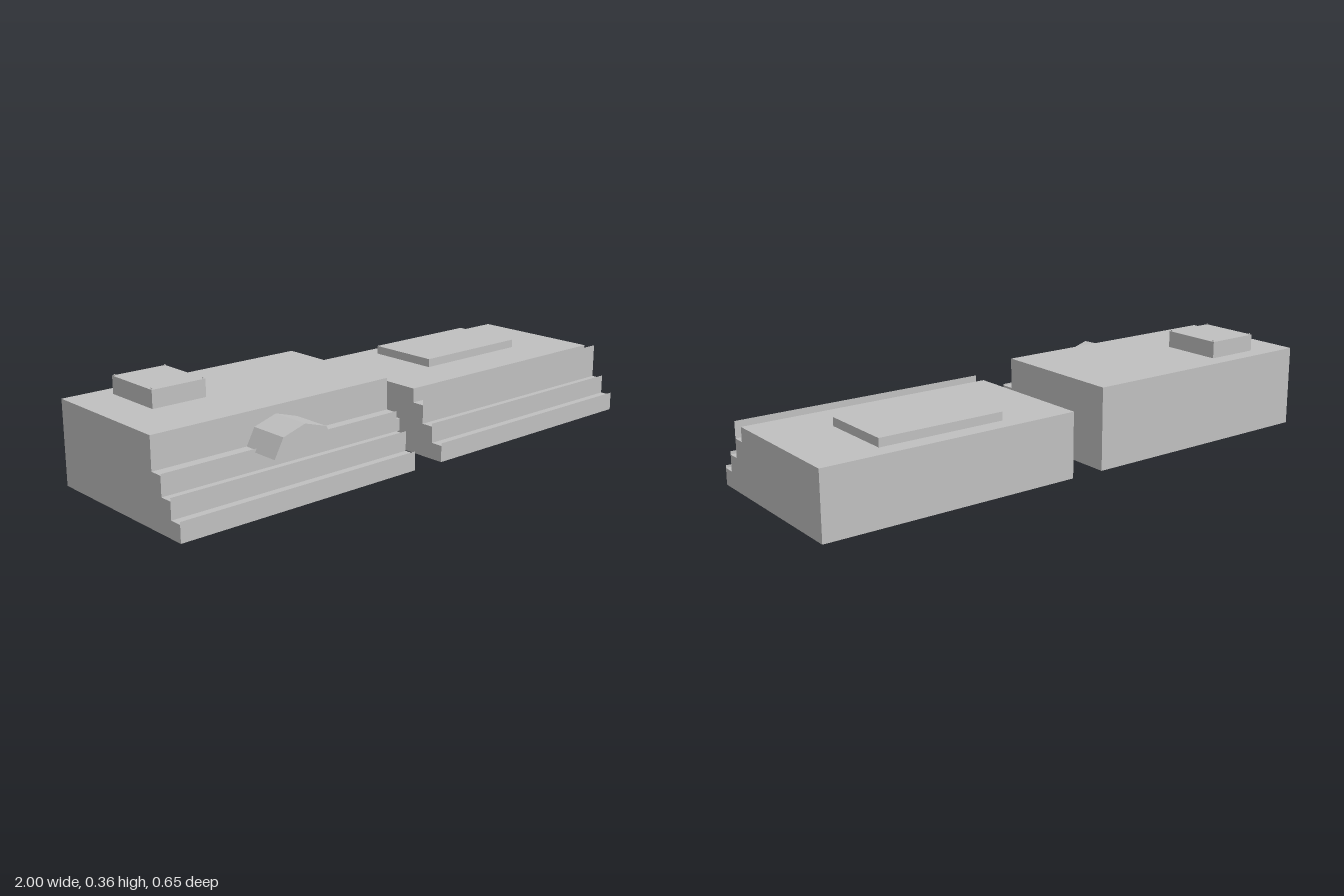
import * as THREE from 'three';

const stone = new THREE.MeshStandardMaterial({ color: 0xc0c0c0, side: THREE.DoubleSide });
stone.name = 'grey stone';

function addMesh(parent, geometry, name) {
  const mesh = new THREE.Mesh(geometry, stone);
  mesh.name = name;
  parent.add(mesh);
  return mesh;
}

// Box given by its limits on each axis
function addBox(parent, name, [x0, x1], [y0, y1], [z0, z1]) {
  const mesh = addMesh(parent, new THREE.BoxGeometry(x1 - x0, y1 - y0, z1 - z0), name);
  mesh.position.set((x0 + x1) / 2, (y0 + y1) / 2, (z0 + z1) / 2);
}

// Open folded sheet: a [z, y] profile swept from x0 to x1
function sheet(profile, x0, x1) {
  const v = [];
  for (let i = 0; i < profile.length - 1; i++) {
    const [pz, py] = profile[i], [qz, qy] = profile[i + 1];
    v.push(x0, py, pz, x1, py, pz, x1, qy, qz, x0, py, pz, x1, qy, qz, x0, qy, qz);
  }
  const g = new THREE.BufferGeometry();
  g.setAttribute('position', new THREE.Float32BufferAttribute(v, 3));
  g.computeVertexNormals();
  return g;
}

function flatShape(points) {
  return new THREE.ShapeGeometry(new THREE.Shape(points.map(p => new THREE.Vector2(p[0], p[1]))));
}

// Hollow block, open underneath, with a terraced front
function terracedBlock(name, x0, x1, roofY, parapetTops) {
  const block = new THREE.Group();
  block.name = name;
  const fronts = [0.322, 0.277, 0.231], floors = [0.058, 0.116, 0.182];
  const profile = [[fronts[0], 0]];
  fronts.forEach((z, i) => {
    profile.push([z, floors[i]], [fronts[i + 1] ?? 0.184, floors[i]]);
  });
  profile.push([0.184, roofY], [-0.325, roofY], [-0.325, 0]);
  addMesh(block, sheet(profile, x0, x1), 'terracesRoofAndBackWall');

  // End walls, one facing each way
  const rightEnd = flatShape(profile).rotateY(-Math.PI / 2);
  addMesh(block, rightEnd, 'rightEndWall').position.x = x0;
  const leftEnd = flatShape(profile.map(([z, y]) => [-z, y])).rotateY(Math.PI / 2);
  addMesh(block, leftEnd, 'leftEndWall').position.x = x1;

  // Thin parapets on the terrace edges
  fronts.forEach((z, i) => {
    addMesh(block, sheet([[z, floors[i]], [z, parapetTops[i]]], x0, x1), 'parapet');
  });
  return block;
}

export function createModel() {
  const model = new THREE.Group();
  model.name = 'terracedBuilding';

  const tall = terracedBlock('tallBlock', -1, -0.065, 0.293, [0.067, 0.127, 0.187]);
  const low = terracedBlock('lowBlock', 0.06, 1, 0.232, [0.067, 0.127, 0.24]);
  model.add(tall, low);

  // Passage joining the blocks
  addBox(model, 'linkPassage', [-0.065, 0.06], [0.065, 0.11], [-0.067, 0.117]);

  // Rooftop rooms, the taller one with tiny corner posts
  addBox(tall, 'roofRoom', [-0.85, -0.65], [0.293, 0.354], [-0.263, -0.033]);
  for (const x of [-0.845, -0.655])
    for (const z of [-0.256, -0.04])
      addBox(tall, 'cornerPost', [x - 0.002, x + 0.002], [0.354, 0.359], [z - 0.002, z + 0.002]);
  addBox(low, 'roofPlatform', [0.305, 0.765], [0.232, 0.262], [-0.263, 0.014]);

  // Faceted canopy running through the front wall, open below and behind
  const canopy = new THREE.Group();
  canopy.name = 'entranceCanopy';
  const arch = [[-0.42, 0.175], [-0.455, 0.239], [-0.54, 0.265], [-0.625, 0.239], [-0.66, 0.175]];
  addMesh(canopy, sheet(arch, -0.327, -0.06).rotateY(Math.PI / 2), 'canopyShell');
  addMesh(canopy, flatShape(arch), 'canopyFront').position.z = 0.327;
  tall.add(canopy);

  return model;
}
